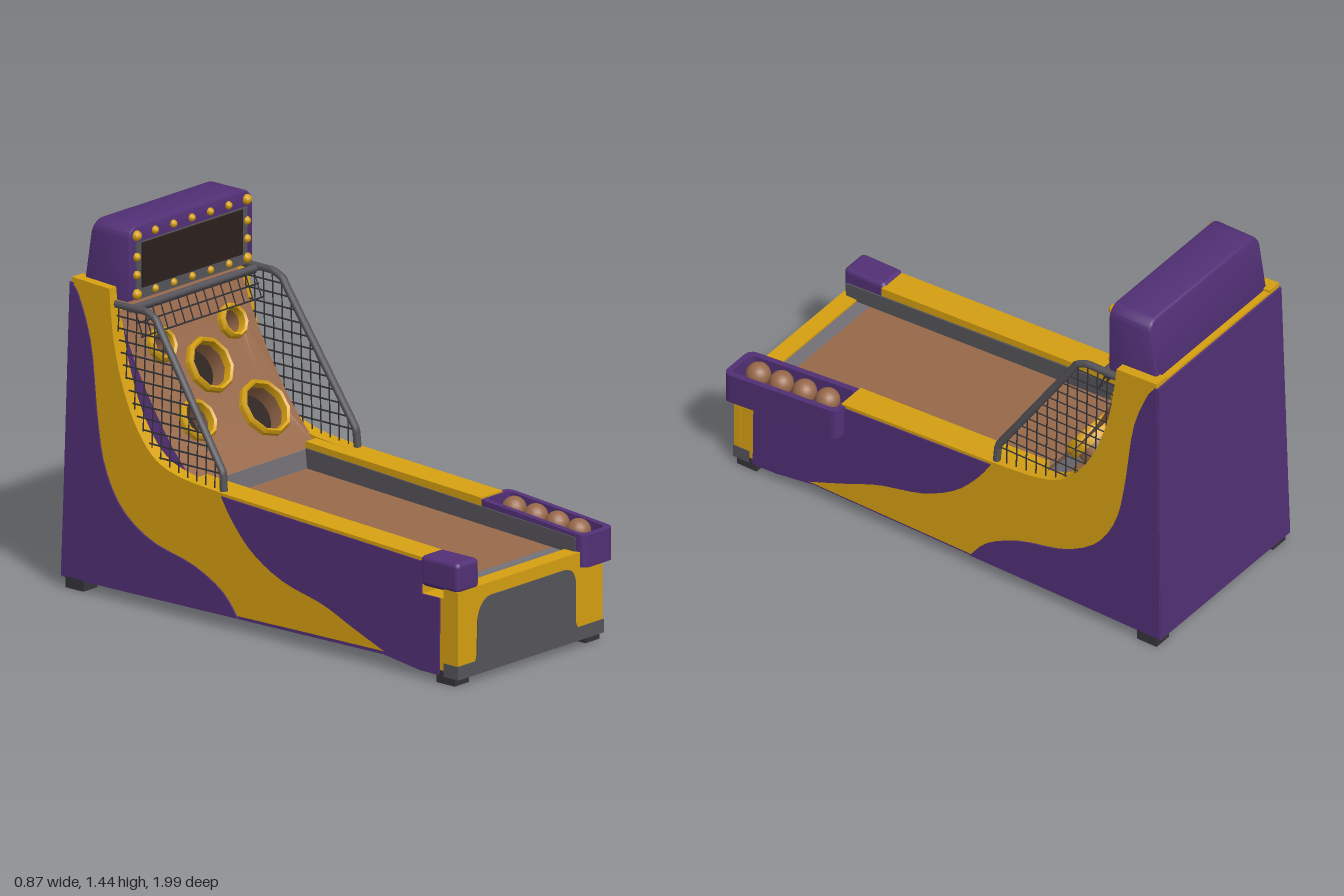
import * as THREE from 'three';
import { toCreasedNormals } from 'three/addons/utils/BufferGeometryUtils.js';
import { RoundedBoxGeometry } from 'three/addons/geometries/RoundedBoxGeometry.js';

const paint = (name, color, side = THREE.FrontSide) => {
  const m = new THREE.MeshStandardMaterial({ color, side });
  m.name = name;
  return m;
};

export function createModel() {
  const yellow = paint('yellow', 0xd6a012);
  const purple = paint('purple', 0x523076);
  const wood = paint('wood brown', 0x98694a, THREE.DoubleSide);
  const grey = paint('panel grey', 0x565459);
  const lightGrey = paint('light grey', 0x747177);
  const wireDark = paint('wire dark grey', 0x353439);
  const dark = paint('dark brown', 0x2b201d);

  const root = new THREE.Group();
  root.name = 'alleyGame';
  const body = new THREE.Group();
  body.name = 'cabinet';
  body.position.x = -0.02;
  root.add(body);

  const add = (name, geo, mat, x = 0, y = 0, z = 0, parent = body) => {
    const m = new THREE.Mesh(geo, mat);
    m.name = name;
    m.position.set(x, y, z);
    parent.add(m);
    return m;
  };
  const box = (name, mat, x0, x1, y0, y1, z0, z1) =>
    add(name, new THREE.BoxGeometry(x1 - x0, y1 - y0, z1 - z0), mat, (x0 + x1) / 2, (y0 + y1) / 2, (z0 + z1) / 2);
  const spline = (pts, n) =>
    new THREE.SplineCurve(pts.map(p => new THREE.Vector2(...p))).getPoints(n).map(p => [p.x, p.y]);

  // Side profile of [z, y] points, extruded from x0 to x1, slightly narrower with height
  const profile = (name, mat, pts, x0, x1) => {
    const shape = new THREE.Shape(pts.map(p => new THREE.Vector2(...p)));
    const g = new THREE.ExtrudeGeometry(shape, { depth: x1 - x0, bevelEnabled: false });
    g.rotateY(-Math.PI / 2).translate(x1, 0, 0);
    const p = g.attributes.position;
    for (let i = 0; i < p.count; i++) p.setX(i, p.getX(i) * (1 - 0.042 * p.getY(i)));
    return add(name, toCreasedNormals(g, 0.6), mat);
  };
  const mirrored = (s, a, b) => (s > 0 ? [a, b] : [-b, -a]);

  // Side walls, rails and painted side panels
  const railTop = z => 0.52 - (z + 0.22) * 0.05;
  const wallEdge = spline([[-0.22, 0.52], [-0.42, 0.54], [-0.55, 0.59], [-0.65, 0.71], [-0.72, 0.87],
    [-0.76, 1.03], [-0.78, 1.2]], 28);
  const frontSwoosh = spline([[0.62, 0.065], [0.45, 0.13], [0.3, 0.19], [0.1, 0.24], [-0.05, 0.32],
    [-0.15, 0.42], [-0.21, 0.508]], 20);
  const backSwoosh = spline([[-0.12, 0.05], [-0.2, 0.14], [-0.35, 0.215], [-0.55, 0.265], [-0.7, 0.36],
    [-0.79, 0.51], [-0.83, 0.7], [-0.865, 0.97], [-0.93, 1.15], [-0.968, 1.19]], 28);
  for (const s of [1, -1]) {
    const cut = s > 0 ? 0.48 : 0.79;
    const front = [[0.965, 0.035], [0.965, 0.33], [cut, 0.33], [cut, railTop(cut)]];
    profile('sideWall', yellow, [[0.6, 0.06], ...front, ...wallEdge, [-0.965, 1.21], [-0.99, 0.045]],
      ...mirrored(s, 0.345, 0.41));
    profile('laneRail', yellow, [...front, [-0.22, 0.52], [-0.39, 0.53], [-0.39, 0.05]], ...mirrored(s, 0.285, 0.345));
    profile('railLiner', grey, [[0.95, 0.36], [0.95, 0.425], [-0.385, 0.505], [-0.385, 0.4]],
      ...mirrored(s, 0.278, 0.285));
    profile('frontSidePanel', purple, [[0.88, 0.33], [0.88, 0.032], [0.77, 0.036], ...frontSwoosh,
      [cut, railTop(cut) - 0.014], [cut, 0.33]], ...mirrored(s, 0.41, 0.416));
    profile('backSidePanel', purple, [...backSwoosh, [-0.998, 0.045]], ...mirrored(s, 0.41, 0.416));
  }

  // Core, back, underside and top deck
  box('core', purple, -0.345, 0.345, 0.05, 0.3, -0.97, 0.94);
  profile('backPanel', purple, [[-0.98, 0.042], [-1, 0.042], [-0.975, 1.19], [-0.955, 1.19]], -0.412, 0.412);
  profile('underside', purple, [[0.95, 0.028], [0.78, 0.03], [0.6, 0.055], [-0.99, 0.038], [-0.99, 0.05],
    [0.6, 0.067], [0.95, 0.04]], -0.41, 0.41);
  box('topDeck', yellow, -0.345, 0.345, 1.12, 1.2, -0.965, -0.785);

  // Front panel with arched inset and kick base
  box('frontPanel', yellow, -0.41, 0.41, 0.05, 0.33, 0.94, 0.97);
  box('frontLip', yellow, -0.41, 0.285, 0.32, 0.37, 0.9, 0.97);
  box('kickBase', grey, -0.412, 0.412, 0.028, 0.08, 0.9, 0.974);
  const arch = new THREE.Shape();
  arch.moveTo(-0.315, 0.07).lineTo(0.27, 0.07).lineTo(0.255, 0.1).lineTo(0.255, 0.25);
  arch.quadraticCurveTo(0.25, 0.32, 0.19, 0.32).lineTo(-0.23, 0.32);
  arch.quadraticCurveTo(-0.285, 0.31, -0.3, 0.24).lineTo(-0.305, 0.1);
  add('frontInset', new THREE.ExtrudeGeometry(arch, { depth: 0.006, bevelEnabled: false }), grey, 0, 0, 0.969);
  for (const x of [-0.37, 0.37]) for (const z of [0.91, -0.935])
    add('foot', new THREE.BoxGeometry(0.08, 0.05, 0.09), wireDark, x, 0.025, z);

  // Lane
  profile('lane', wood, [[0.84, 0.365], [-0.385, 0.428], [-0.385, 0.29], [0.84, 0.29]], -0.288, 0.288);
  profile('laneStrip', lightGrey, [[0.9, 0.362], [0.84, 0.365], [0.84, 0.29], [0.9, 0.29]], -0.288, 0.288);
  profile('laneRiser', lightGrey, [[-0.378, 0.42], [-0.385, 0.5], [-0.4, 0.5], [-0.4, 0.42]], -0.35, 0.35);

  // Curved target board with five holes
  const boardPts = [[-0.385, 0.495], [-0.5, 0.62], [-0.61, 0.78], [-0.7, 0.94], [-0.78, 1.13]];
  const boardLine = spline(boardPts, 40);
  const boardZ = y => {
    let i = 1;
    while (i < boardLine.length - 1 && boardLine[i][1] < y) i++;
    const [z0, y0] = boardLine[i - 1], [z1, y1] = boardLine[i];
    return z0 + (z1 - z0) * (y - y0) / (y1 - y0);
  };
  const outline = [];
  for (let i = 0; i <= 16; i++) outline.push(new THREE.Vector2(0.345, 0.495 + 0.635 * i / 16));
  const board = new THREE.Shape([...outline, ...outline.map(p => new THREE.Vector2(-p.x, p.y)).reverse()]);
  const up = new THREE.Vector3(0, 1, 0);
  for (const [x, y, r] of [[-0.19, 0.95, 0.07], [0.21, 0.95, 0.07], [0.01, 0.835, 0.112],
    [-0.17, 0.68, 0.087], [0.185, 0.65, 0.117]]) {
    const slope = (boardZ(y + 0.05) - boardZ(y - 0.05)) / 0.1;
    const n = new THREE.Vector3(0, -slope, 1).normalize();
    const hole = new THREE.Path();
    hole.absellipse(x, y, r - 0.012, (r - 0.012) * n.z, 0, Math.PI * 2, true);
    board.holes.push(hole);
    const target = new THREE.Group();
    target.name = 'target';
    target.position.set(x, y, boardZ(y));
    target.quaternion.setFromUnitVectors(up, n);
    body.add(target);
    const lathe = pts => toCreasedNormals(new THREE.LatheGeometry(pts.map(p => new THREE.Vector2(...p)), 10), 0.7);
    add('targetRing', lathe([[r - 0.004, -0.025], [r, 0.022], [r - 0.01, 0.036], [r - 0.02, 0.03], [r - 0.024, 0]]),
      yellow, 0, 0, 0, target);
    add('targetCup', lathe([[r - 0.024, 0], [r - 0.024, -0.07]]), wood, 0, 0, 0, target);
    add('targetHole', new THREE.CircleGeometry(r - 0.024, 10).rotateX(-Math.PI / 2), dark, 0, -0.065, 0, target);
  }
  const boardGeo = new THREE.ShapeGeometry(board, 12);
  const bp = boardGeo.attributes.position;
  for (let i = 0; i < bp.count; i++) bp.setZ(i, boardZ(bp.getY(i)));
  boardGeo.computeVertexNormals();
  add('targetBoard', boardGeo, wood);

  // Cage: tube frames, side nets and the hanging top net
  const netX = y => 0.378 - (y - 0.54) * 0.035;
  const wire = (name, a, b) => {
    const p = new THREE.Vector3(...a), d = new THREE.Vector3(...b).sub(p), len = d.length();
    if (len < 0.01) return;
    const m = add(name, new THREE.CylinderGeometry(0.0035, 0.0035, len, 4), wireDark);
    m.position.copy(p).addScaledVector(d, 0.5);
    m.quaternion.setFromUnitVectors(up, d.normalize());
  };
  const lerpLine = (pts, k, v) => {
    for (let i = 1; i < pts.length; i++) {
      const a = pts[i - 1], b = pts[i];
      if ((v - a[k]) * (v - b[k]) <= 0 && a[k] !== b[k])
        return a[1 - k] + (b[1 - k] - a[1 - k]) * (v - a[k]) / (b[k] - a[k]);
    }
    return pts[pts.length - 1][1 - k];
  };
  const frame = [[-0.22, 0.52], [-0.225, 0.59], [-0.55, 1.075], [-0.575, 1.115], [-0.62, 1.135], [-0.78, 1.135]];
  for (const s of [1, -1]) {
    const path = new THREE.CurvePath();
    const pts = frame.map(([z, y]) => new THREE.Vector3(s * netX(y), y, z));
    for (let i = 1; i < pts.length; i++) path.add(new THREE.LineCurve3(pts[i - 1], pts[i]));
    add('cageFrame', new THREE.TubeGeometry(path, 60, 0.015, 8), grey);
    for (let z = -0.265; z > -0.77; z -= 0.045) {
      const y0 = lerpLine(wallEdge, 0, z), y1 = lerpLine(frame, 0, z);
      wire('sideNetWire', [s * netX(y0), y0, z], [s * netX(y1), y1, z]);
    }
    for (let y = 0.585; y < 1.12; y += 0.046)
      wire('sideNetWire', [s * netX(y), y, lerpLine(frame, 1, y)], [s * netX(y), y, lerpLine(wallEdge, 1, y)]);
  }
  add('cageCrossbar', new THREE.CylinderGeometry(0.015, 0.015, 0.72, 8).rotateZ(Math.PI / 2), grey, 0, 1.13, -0.7);
  for (let i = 0; i <= 14; i++) {
    const x = -0.336 + i * 0.048;
    wire('topNetWire', [x, 1.125, -0.7], [x, 1.025, -0.66]);
  }
  for (const t of [0, 0.5, 0.9])
    wire('topNetWire', [-0.345, 1.025 + t * 0.1, -0.66 - t * 0.04], [0.345, 1.025 + t * 0.1, -0.66 - t * 0.04]);

  // Marquee with sloping back, screen and bulbs
  const sign = new THREE.Shape();
  sign.moveTo(-0.34, 1.16).lineTo(0.34, 1.16).lineTo(0.34, 1.39).quadraticCurveTo(0.335, 1.425, 0.3, 1.43);
  sign.lineTo(-0.3, 1.43).quadraticCurveTo(-0.335, 1.425, -0.34, 1.39);
  const signGeo = new THREE.ExtrudeGeometry(sign, { depth: 0.21, bevelSize: 0.01, bevelThickness: 0.01, bevelSegments: 2 });
  signGeo.translate(0, 0, -0.935);
  const sp = signGeo.attributes.position;
  for (let i = 0; i < sp.count; i++)
    if (sp.getZ(i) < -0.85) sp.setZ(i, sp.getZ(i) + Math.max(0, sp.getY(i) - 1.2) * 0.2);
  add('marquee', toCreasedNormals(signGeo, 0.7), purple);
  box('marqueeBezel', grey, -0.315, 0.315, 1.152, 1.375, -0.716, -0.711);
  box('marqueeScreen', dark, -0.285, 0.285, 1.195, 1.37, -0.711, -0.707);
  const bulb = (x, y, r) => add('bulb', new THREE.SphereGeometry(r, 8, 6), yellow, x, y, -0.712);
  for (let i = 0; i < 7; i++)
    for (const y of [1.175, 1.403]) bulb(-0.312 + i * 0.104, y, i % 6 ? 0.016 : 0.021);
  for (const x of [-0.312, 0.312]) for (const y of [1.25, 1.32]) bulb(x, y, 0.017);

  // Corner cap, ball tray and balls
  add('cornerCap', new RoundedBoxGeometry(0.125, 0.12, 0.19, 3, 0.02), purple, -0.35, 0.42, 0.877);
  const rounded = (Cls, w, h, r) => {
    const s = new Cls();
    s.moveTo(-w + r, -h).lineTo(w - r, -h).quadraticCurveTo(w, -h, w, -h + r).lineTo(w, h - r);
    s.quadraticCurveTo(w, h, w - r, h).lineTo(-w + r, h).quadraticCurveTo(-w, h, -w, h - r);
    s.lineTo(-w, -h + r).quadraticCurveTo(-w, -h, -w + r, -h);
    return s;
  };
  const tray = (name, shape, depth, y) => {
    const g = new THREE.ExtrudeGeometry(shape, { depth, bevelEnabled: false }).rotateX(-Math.PI / 2);
    const p = g.attributes.position;
    for (let i = 0; i < p.count; i++) p.setY(i, p.getY(i) - p.getZ(i) * 0.085);
    add(name, toCreasedNormals(g, 0.6), purple, 0.367, y, 0.727);
  };
  const rim = rounded(THREE.Shape, 0.088, 0.265, 0.04);
  rim.holes.push(rounded(THREE.Path, 0.064, 0.24, 0.03));
  tray('ballTrayRim', rim, 0.125, 0.332);
  tray('ballTrayFloor', rounded(THREE.Shape, 0.086, 0.262, 0.04), 0.05, 0.333);
  for (const z of [0.57, 0.677, 0.784, 0.89])
    add('ball', new THREE.SphereGeometry(0.048, 18, 12), wood, 0.365, 0.43 - (z - 0.73) * 0.07, z);

  return root;
}
